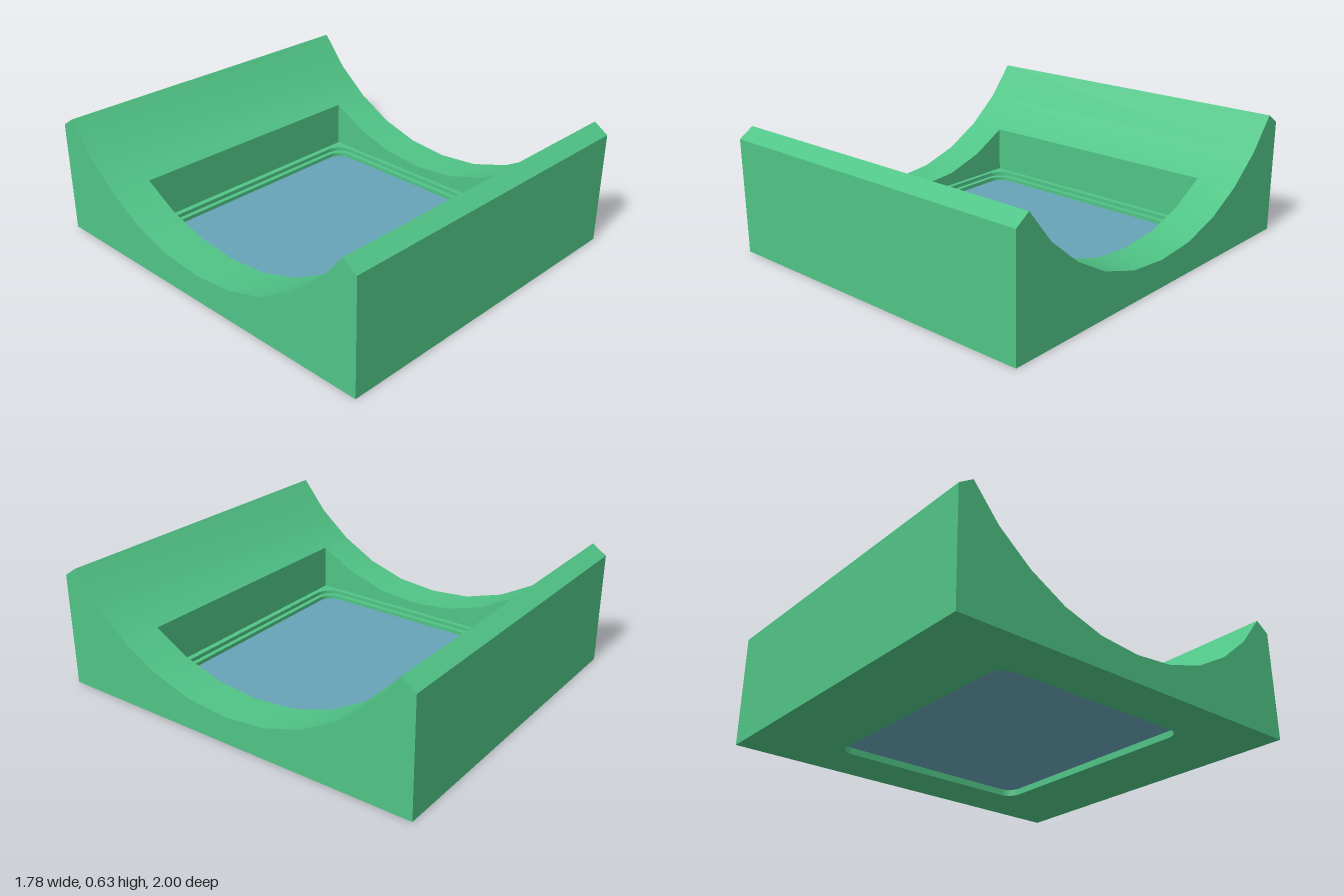
import * as THREE from 'three';
import { mergeGeometries, toCreasedNormals } from 'three/addons/utils/BufferGeometryUtils.js';

const W = 0.89, PX = 0.68, PZ = 0.62;            // half width, half pocket sizes
const FLOOR = 0.09, LEDGE = 0.07;                // heights inside the pocket
const GLASS_LOW = 0.035, GLASS_TOP = 0.05;

// half of the saddle profile as [z, y], mirrored to the full profile
const half = [[0, 0.14], [0.22, 0.16], [0.43, 0.225], [PZ, 0.33], [0.79, 0.47], [0.925, 0.635], [1, 0.585]];
const profile = [...half.slice(1).reverse().map(([z, y]) => [-z, y]), ...half];

function rectShape(a, b) {
  return new THREE.Shape([[-a, -b], [a, -b], [a, b], [-a, b]].map(p => new THREE.Vector2(...p)));
}

// rounded rectangle, counter-clockwise
function roundedPoints(a, b, r, steps = 8) {
  const pts = [];
  [[1, 1], [-1, 1], [-1, -1], [1, -1]].forEach(([sx, sy], k) => {
    for (let i = 0; i <= steps; i++) {
      const t = (k + i / steps) * Math.PI / 2;
      pts.push(new THREE.Vector2(sx * (a - r) + r * Math.cos(t), sy * (b - r) + r * Math.sin(t)));
    }
  });
  return pts;
}

function bare(geometry) {
  const g = geometry.index ? geometry.toNonIndexed() : geometry;
  g.deleteAttribute('uv');
  g.deleteAttribute('normal');
  return g;
}

function bodyGeometry() {
  const pos = [], pieces = [];
  const quad = (a, b, c, d) => pos.push(...a, ...b, ...c, ...a, ...c, ...d);
  // upright wall across x, facing dir along z
  const wall = (z, w, y0, y1, dir) => {
    const s = w * dir;
    quad([-s, y0, z], [s, y0, z], [s, y1, z], [-s, y1, z]);
  };
  const flat = (shape, hole, y, up) => {
    shape.holes.push(new THREE.Path(hole));
    pieces.push(bare(new THREE.ShapeGeometry(shape).rotateX(up ? -Math.PI / 2 : Math.PI / 2).translate(0, y, 0)));
  };
  const side = (pts, x, dir) => {
    const shape = new THREE.Shape(pts.map(p => new THREE.Vector2(...p)));
    pieces.push(bare(new THREE.ShapeGeometry(shape).rotateY(dir * Math.PI / 2).translate(x, 0, 0)));
  };
  // inward-facing wall around an opening
  const rim = (pts, y0, y1) => pts.forEach((p, i) => {
    const q = pts[(i + 1) % pts.length];
    quad([q.x, y0, -q.y], [p.x, y0, -p.y], [p.x, y1, -p.y], [q.x, y1, -q.y]);
  });

  // curved top, split around the pocket
  for (let i = 0; i < profile.length - 1; i++) {
    const [z0, y0] = profile[i], [z1, y1] = profile[i + 1];
    const open = Math.abs(z0 + z1) / 2 < PZ;
    const spans = open ? [[-W, -PX], [PX, W]] : [[-W, W]];
    for (const [a, b] of spans) quad([a, y0, z0], [a, y1, z1], [b, y1, z1], [b, y0, z0]);
  }
  // outer and pocket walls
  const pocket = profile.filter(([z]) => Math.abs(z) <= PZ);
  for (const s of [-1, 1]) {
    wall(s, W, 0, 0.585, s);
    wall(s * PZ, PX, FLOOR, 0.33, -s);
    side([[-1, 0], [1, 0], ...profile.slice().reverse()], s * W, s);
    side([[-PZ, FLOOR], [PZ, FLOOR], ...pocket.slice().reverse()], s * PX, -s);
  }
  // pocket floor, stepped ledge and underside
  const outer = roundedPoints(0.655, 0.59, 0.09), inner = roundedPoints(0.63, 0.565, 0.075);
  flat(rectShape(PX, PZ), outer, FLOOR, true);
  flat(new THREE.Shape(outer), inner, LEDGE, true);
  flat(rectShape(W, 1), inner, 0, false);
  rim(outer, LEDGE, FLOOR);
  rim(inner, 0, LEDGE);

  const quads = new THREE.BufferGeometry();
  quads.setAttribute('position', new THREE.Float32BufferAttribute(pos, 3));
  return toCreasedNormals(mergeGeometries([quads, ...pieces]), Math.PI / 7);
}

export function createModel() {
  const group = new THREE.Group();
  group.name = 'cradle';

  const body = new THREE.Mesh(bodyGeometry(), new THREE.MeshStandardMaterial({ color: 0x50c486 }));
  body.name = 'saddleBody';

  // window pane set into the opening
  const pane = new THREE.ExtrudeGeometry(new THREE.Shape(roundedPoints(0.63, 0.565, 0.075)),
    { depth: GLASS_TOP - GLASS_LOW, bevelEnabled: false });
  pane.rotateX(-Math.PI / 2).translate(0, GLASS_LOW, 0);
  const glass = new THREE.Mesh(pane, new THREE.MeshStandardMaterial({ color: 0x68a4b8 }));
  glass.name = 'windowPane';

  group.add(body, glass);
  return group;
}
